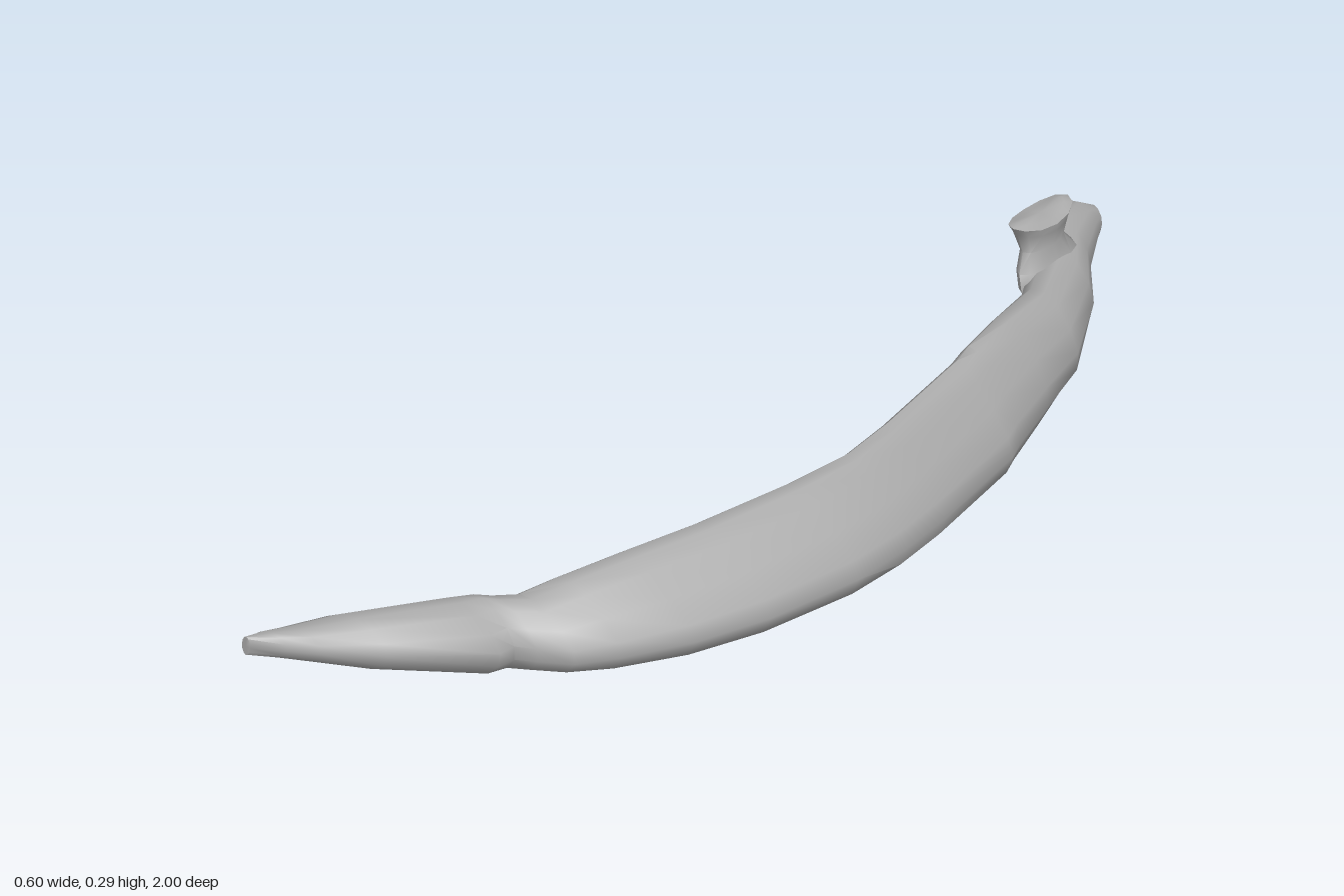
import * as THREE from 'three';
import { toCreasedNormals } from 'three/addons/utils/BufferGeometryUtils.js';

const { lerp, smoothstep, degToRad } = THREE.MathUtils;

// Skin a list of closed rings, with a fan cap at both ends.
function loft(rings, crease) {
  const n = rings[0].length;
  const pts = rings.flat();
  const index = [];
  for (let i = 0; i < rings.length - 1; i++) {
    for (let j = 0; j < n; j++) {
      const k = (j + 1) % n;
      const a = i * n + j, b = i * n + k, c = b + n, d = a + n;
      index.push(a, b, c, a, c, d);
    }
  }
  const middle = ring => ring.reduce((s, p) => s.add(p), new THREE.Vector3()).divideScalar(n);
  const last = (rings.length - 1) * n;
  const first = pts.push(middle(rings[0])) - 1;
  const end = pts.push(middle(rings[rings.length - 1])) - 1;
  for (let j = 0; j < n; j++) {
    const k = (j + 1) % n;
    index.push(first, k, j, end, last + j, last + k);
  }
  const g = new THREE.BufferGeometry().setFromPoints(pts);
  g.setIndex(index);
  return toCreasedNormals(g, crease);
}

// Mid-body section: flat inner wall at u = 0, rounded outer flank at u = 1.
const FLANK = [
  [0, 0.13], [0.25, 0.02], [0.65, 0], [0.92, 0.07], [1, 0.25], [0.93, 0.42],
  [0.7, 0.64], [0.44, 0.86], [0.28, 0.98], [0.14, 1], [0.06, 0.94], [0.01, 0.5],
];

// Stations along the bow: z, inner x, outer x, top y.
const STATIONS = [
  [-1, -0.05, -0.01, 0.19],
  [-0.965, -0.085, 0.01, 0.21],
  [-0.9, -0.088, 0.047, 0.212],
  [-0.83, -0.035, 0.112, 0.205],
  [-0.71, 0.035, 0.177, 0.197],
  [-0.59, 0.06, 0.207, 0.212],
  [-0.47, 0.081, 0.24, 0.21],
  [-0.43, 0.088, 0.255, 0.203],
  [-0.2, 0.13, 0.29, 0.196],
  [-0.08, 0.15, 0.301, 0.192],
  [0.05, 0.117, 0.301, 0.19],
  [0.25, 0.066, 0.267, 0.187],
  [0.4, 0.028, 0.222, 0.183],
  [0.53, -0.005, 0.165, 0.176],
  [0.6, -0.038, 0.12, 0.16],
  [0.64, -0.066, 0.07, 0.165],
  [0.665, -0.084, 0.038, 0.172],
  [0.71, -0.12, 0.042, 0.177],
  [0.86, -0.24, -0.09, 0.17],
  [0.925, -0.287, -0.185, 0.152],
  [0.96, -0.303, -0.235, 0.15],
  [1, -0.303, -0.285, 0.15],
];

// The underside lifts and the section turns elliptical towards both ends.
// The upper rim of the inner wall curves outwards between its straight lower chords.
function bodyRing([z, inner, outer, top]) {
  const bottom = z < 0 ? 0.13 * (-z) ** 4.5 : 0.113 * z ** 2.5;
  const round = smoothstep(Math.abs(z), 0.35, 1);
  const turn = (z + 0.08) / 0.635;
  const bow = Math.abs(turn) < 1 ? 0.022 * Math.abs(Math.sin(Math.PI * turn)) : 0;
  return FLANK.map(([u, v], j) => {
    const a = degToRad(j * 30 - 155);
    return new THREE.Vector3(
      lerp(inner, outer, lerp(u, 0.5 + 0.5 * Math.cos(a), round)) + bow * (1 - u) * v,
      lerp(bottom, top, lerp(v, 0.5 + 0.5 * Math.sin(a), round)),
      z);
  });
}

// Flared stub: y, centre x, half width in x, half length in z, rise of the two tips.
const STUB = [
  [0.16, 0.03, 0.03, 0.075, 0],
  [0.195, 0.025, 0.03, 0.075, 0],
  [0.225, 0.014, 0.024, 0.052, 0],
  [0.258, 0.012, 0.035, 0.064, 0.006],
  [0.272, 0.011, 0.038, 0.075, 0.01],
  [0.275, 0.011, 0.024, 0.058, 0.012],
];

function stubRing([y, x, rx, rz, rise]) {
  return Array.from({ length: 12 }, (_, j) => {
    const a = degToRad(j * 30), s = Math.sin(a);
    return new THREE.Vector3(x + rx * Math.cos(a), y + rise * s * s, -0.805 - rz * s);
  });
}

export function createModel() {
  const grey = new THREE.MeshStandardMaterial({ color: 0xaaaaaa });
  grey.name = 'plain grey';

  const model = new THREE.Group();
  model.name = 'curvedModel';
  const add = (name, geometry) => {
    const mesh = new THREE.Mesh(geometry, grey);
    mesh.name = name;
    model.add(mesh);
  };

  add('curvedBody', loft(STATIONS.map(bodyRing), 0.9));
  add('flaredStub', loft(STUB.map(stubRing), 1.1));
  return model;
}
